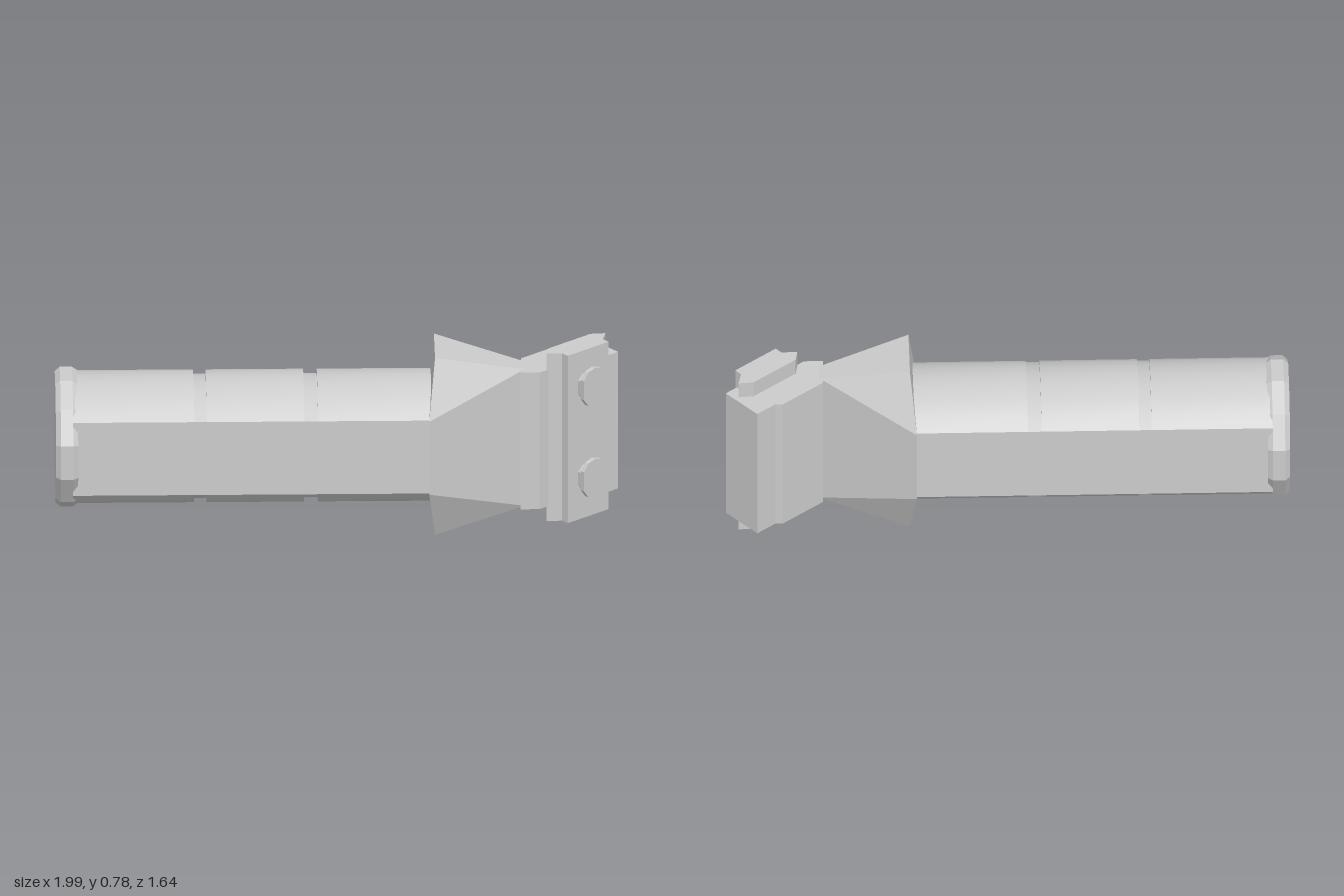
import * as THREE from 'three';
import { toCreasedNormals } from 'three/addons/utils/BufferGeometryUtils.js';

const material = new THREE.MeshStandardMaterial({ color: 0xcccccc });
const flat = new THREE.MeshStandardMaterial({ color: 0xcccccc, flatShading: true });

function add(parent, name, geometry, mat = flat) {
  const mesh = new THREE.Mesh(geometry, mat);
  mesh.name = name;
  parent.add(mesh);
  return mesh;
}

// Straight prism from outline points, running from one depth to another
function prism(points, from, to) {
  const shape = new THREE.Shape(points.map(([x, y]) => new THREE.Vector2(x, y)));
  return new THREE.ExtrudeGeometry(shape, { depth: to - from, bevelEnabled: false, curveSegments: 1 })
    .translate(0, 0, from);
}

// Upright prism from a plan outline given as [x, z]
function upright(plan, bottom, top) {
  return prism(plan.map(([x, z]) => [x, -z]), bottom, top).rotateX(-Math.PI / 2);
}

// Grip section: flat sides with arched top and bottom
function gripSection(rise) {
  const half = 0.237, side = 0.16, steps = 8;
  const radius = (half * half + rise * rise) / (2 * rise);
  const sweep = Math.asin(half / radius);
  const arch = [];
  for (let i = 0; i <= steps; i++) {
    const a = sweep * (1 - 2 * i / steps);
    arch.push([radius * Math.sin(a), side + rise - radius + radius * Math.cos(a)]);
  }
  return [...arch, ...arch.map(([x, y]) => [-x, -y])];
}

// Closed loft between two rings of [x, y, z] corners, counter-clockwise seen from +z
function loft(back, front) {
  const n = back.length, index = [];
  for (let i = 0; i < n; i++) {
    const j = (i + 1) % n;
    index.push(i, j, n + j, i, n + j, n + i);
    if (i > 0 && i < n - 1) index.push(0, i + 1, i, n, n + i, n + i + 1);
  }
  const g = new THREE.BufferGeometry();
  g.setAttribute('position', new THREE.Float32BufferAttribute([...back, ...front].flat(), 3));
  g.setIndex(index);
  const out = g.toNonIndexed();
  out.computeVertexNormals();
  return out;
}

export function createModel() {
  const model = new THREE.Group();
  model.name = 'angledGrip';

  // Handle, built along its own z axis and swung round to the mount
  const handle = new THREE.Group();
  handle.name = 'handle';
  handle.position.set(-0.043, 0.39, 0.05);
  handle.rotation.y = 0.861;
  model.add(handle);

  // Core, whose arches form the groove floors
  add(handle, 'gripCore', toCreasedNormals(prism(gripSection(0.08), -0.95, 0.5), 0.5), material);
  for (const [from, to] of [[-0.95, -0.46], [-0.41, -0.015], [0.04, 0.5]]) {
    add(handle, 'gripPanel', toCreasedNormals(prism(gripSection(0.104), from, to), 0.5), material);
  }

  // End cap with a bevelled rim
  const cap = new THREE.LatheGeometry([
    [0, 0.93], [0.272, 0.93], [0.286, 0.95], [0.286, 1.0], [0.268, 1.02], [0, 1.02],
  ].map(([r, y]) => new THREE.Vector2(r, y)), 12);
  cap.rotateX(-Math.PI / 2).rotateZ(Math.PI / 12);
  add(handle, 'endCap', cap);

  // Flared collar narrowing to a tall thin neck
  const quarter = [[0.25, 0.16, 0.49], [0.128, 0.388, 0.515]];
  const flare = [
    ...quarter,
    ...quarter.map(([x, y, z]) => [-x, y, z]).reverse(),
    ...quarter.map(([x, y, z]) => [-x, -y, z]),
    ...quarter.map(([x, y, z]) => [x, -y, z]).reverse(),
  ];
  const neck = flare.map(([x, y]) => [Math.sign(x) * 0.04, Math.sign(y) * 0.3, 0.88]);
  add(handle, 'collar', loft(flare, neck));

  // Mount
  const mount = new THREE.Group();
  mount.name = 'mount';
  model.add(mount);

  add(mount, 'mountBody', upright([
    [0.56, 0.67], [0.62, 0.72], [0.94, 0.72], [0.94, 0.77], [1.0, 0.77],
    [1.0, 0.58], [0.9, 0.58], [0.88, 0.56], [0.66, 0.56],
  ], 0.09, 0.69));

  add(mount, 'clampBlock', upright([
    [0.66, 0.715], [0.71, 0.755], [0.71, 0.79], [0.93, 0.79], [0.93, 0.755],
    [0.98, 0.715], [0.93, 0.68], [0.70, 0.68],
  ], 0.025, 0.76));

  // Two studs on the front of the clamp
  const oval = (w, h) => [
    [w, h * 0.5], [w * 0.6, h * 0.88], [0, h], [-w * 0.6, h * 0.88], [-w, h * 0.5],
    [-w, -h * 0.5], [-w * 0.6, -h * 0.88], [0, -h], [w * 0.6, -h * 0.88], [w, -h * 0.5],
  ];
  for (const y of [0.205, 0.605]) {
    const stud = new THREE.Group();
    stud.name = 'stud';
    stud.position.set(0.82, y, 0);
    add(stud, 'studStem', prism(oval(0.055, 0.06), 0.78, 0.815));
    add(stud, 'studHead', prism(oval(0.06, 0.084), 0.812, 0.832));
    mount.add(stud);
  }

  return model;
}
